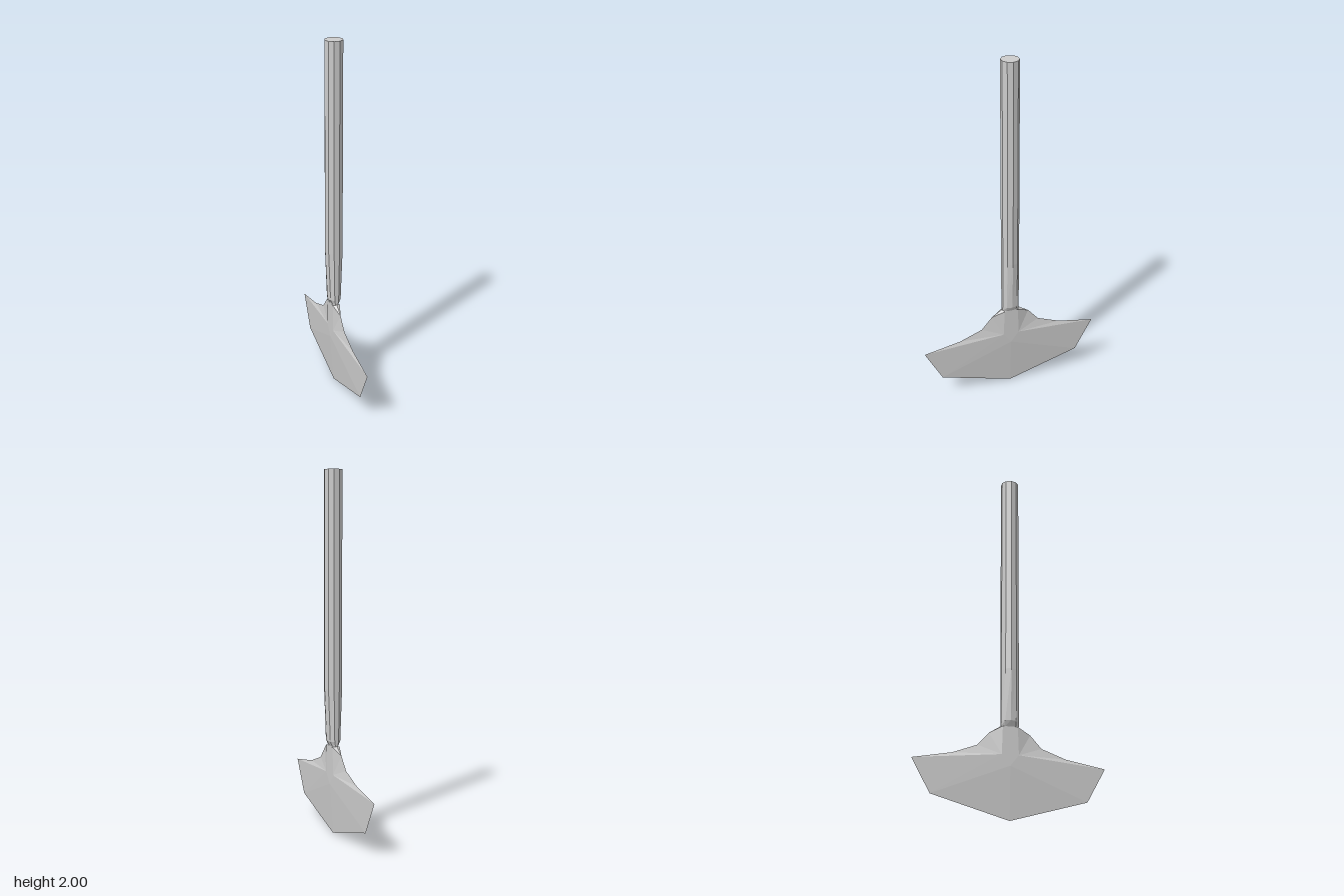
import * as THREE from 'three';

const material = () => new THREE.MeshStandardMaterial({ color: 0xcccccc, flatShading: true });

// Ten-sided shaft, pinched sideways near the bottom to meet the blade
function makeHandle() {
  const rows = [[2, 1], [0.82, 1], [0.53, 0.74], [0.5, 0.4], [0.47, 0.4]]; // height, sideways scale
  const geo = new THREE.CylinderGeometry(0.05, 0.05, 1, 10, rows.length - 1);
  geo.rotateY(Math.PI / 2);
  const p = geo.attributes.position;
  for (let i = 0; i < p.count; i++) {
    const [y, s] = rows[Math.round((0.5 - p.getY(i)) * (rows.length - 1))];
    p.setXYZ(i, p.getX(i) * s, y, p.getZ(i));
  }
  geo.computeVertexNormals();
  const mesh = new THREE.Mesh(geo, material());
  mesh.name = 'handle';
  return mesh;
}

// Blade: a thick core whose faces slope out to a sharp outline, mirrored in x and z
function makeBlade() {
  const t = 0.021;
  // points as [x, y, z]: core, then outline from the neck round to the bottom tip
  const pts = {
    top: [t, 0.5, 0], neck: [t, 0.5, 0.04], hip: [t, 0.345, 0.045], mid: [t, 0.285, 0],
    o0: [0, 0.505, 0.048], o1: [0, 0.465, 0.11], o2: [0, 0.395, 0.17], o3: [0, 0.345, 0.3],
    o4: [0, 0.305, 0.51], o5: [0, 0.12, 0.41], o6: [0, 0, 0],
  };
  const faces = [
    'top neck hip', 'top hip mid', 'neck o0 o1', 'neck o1 hip', 'hip o1 o2',
    'hip o2 o3', 'hip o3 o4', 'hip o4 o5', 'hip o5 mid', 'mid o5 o6',
  ];
  const out = [];
  for (const sx of [1, -1]) for (const sz of [1, -1]) {
    for (const face of faces) {
      const [a, b, c] = face.split(' ').map((k) => new THREE.Vector3(pts[k][0] * sx, pts[k][1], pts[k][2] * sz));
      const n = b.clone().sub(a).cross(c.clone().sub(a));
      const order = n.x * sx > 0 ? [a, b, c] : [a, c, b]; // face outwards
      order.forEach((v) => out.push(v.x, v.y, v.z));
    }
  }
  const geo = new THREE.BufferGeometry();
  geo.setAttribute('position', new THREE.Float32BufferAttribute(out, 3));
  geo.computeVertexNormals();
  const mesh = new THREE.Mesh(geo, material());
  mesh.name = 'blade';
  return mesh;
}

export function createModel() {
  const group = new THREE.Group();
  group.name = 'bladedTool';
  group.add(makeHandle(), makeBlade());
  return group;
}
